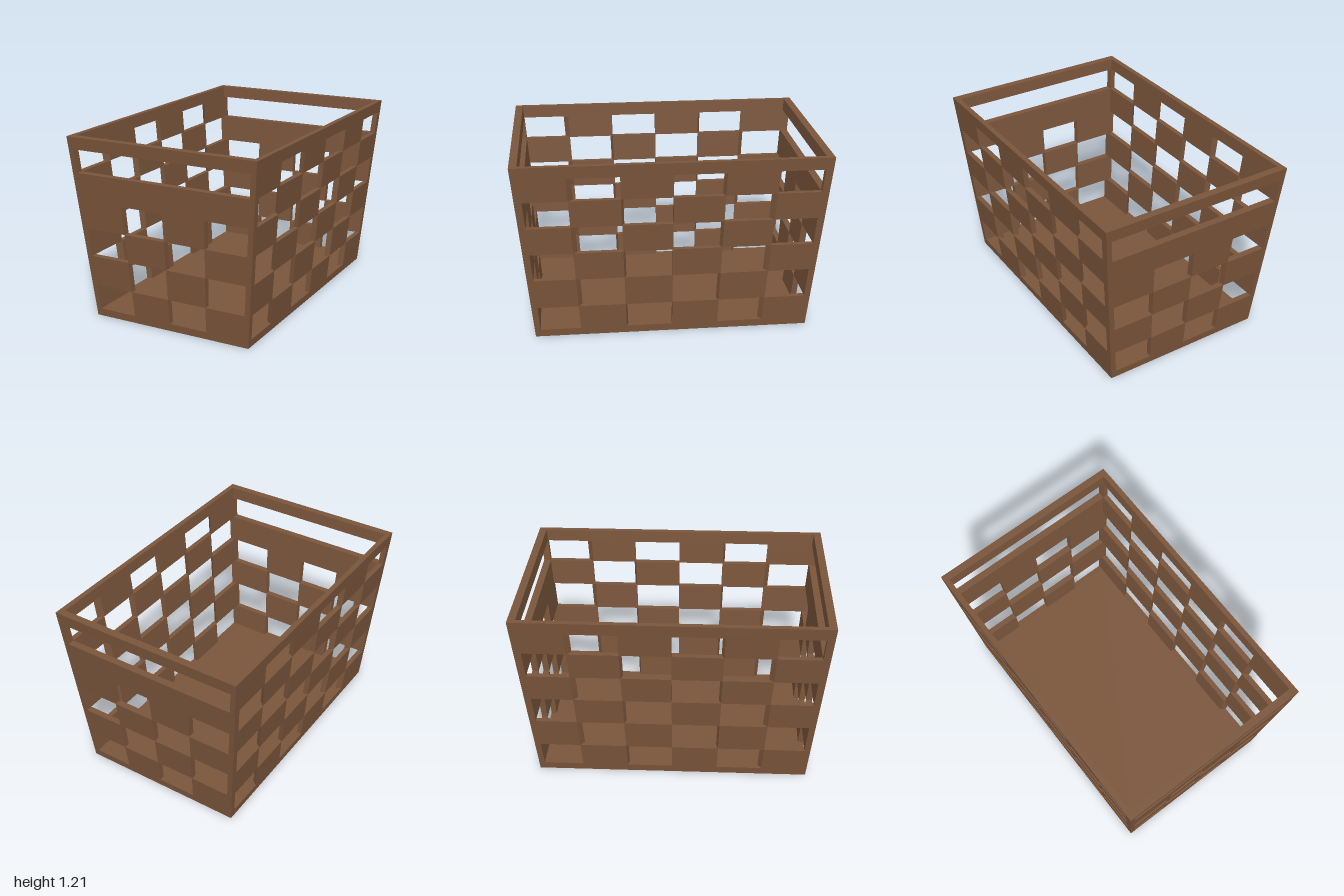
import * as THREE from 'three';

const HEIGHT = 1.21, FLOOR = 0.05;
const mix = (a, b, y) => a + (b - a) * y / HEIGHT;
// Outer and inner half sizes of the tapered basket at height y
const outer = { x: y => mix(0.555, 0.66, y), z: y => mix(0.895, 1.0, y) };
const inner = { x: y => mix(0.52, 0.625, y), z: y => mix(0.858, 0.95, y) };

const brown = new THREE.MeshStandardMaterial({ color: 0x7a553b });
brown.name = 'brown plastic';

// One wall facing +z, divided into cells that are solid or open
function wallGeometry({ along, depth, n, rows, isOpen, straightHoles }) {
  const cols = 2 * n + 2;
  const pos = [];
  const quad = (a, b, c, d) => pos.push(...a, ...b, ...c, ...a, ...c, ...d);

  // Corner of the cell grid; column lines fan out with the taper
  const point = (col, row, inside) => {
    const y = rows[row], k = col - n - 1;
    const edge = inner[along](y);
    let s;
    if (Math.abs(k) > n) s = Math.sign(k) * (inside ? edge : outer[along](y));
    else if (Math.abs(k) === n) s = Math.sign(k) * edge;
    else s = k / n * (inside || straightHoles ? edge : outer[along](y));
    return [s, y, (inside ? inner : outer)[depth](y)];
  };
  const open = (c, r) => c > 0 && c < cols - 1 && r >= 0 && r < rows.length - 1 && isOpen(c - 1, r);

  for (let r = 0; r < rows.length - 1; r++) {
    for (let c = 0; c < cols; c++) {
      if (open(c, r)) continue;
      const [a, b, d, e] = [[c, r], [c + 1, r], [c + 1, r + 1], [c, r + 1]].map(p => point(...p, false));
      const [ai, bi, di, ei] = [[c, r], [c + 1, r], [c + 1, r + 1], [c, r + 1]].map(p => point(...p, true));
      quad(a, b, d, e);
      quad(bi, ai, ei, di);
      // Hole reveals and the top rim
      if (open(c + 1, r)) quad(b, bi, di, d);
      if (open(c - 1, r)) quad(ai, a, e, ei);
      if (open(c, r - 1)) quad(ai, bi, b, a);
      if (open(c, r + 1) || r === rows.length - 2) quad(e, d, di, ei);
    }
  }
  const geo = new THREE.BufferGeometry();
  geo.setAttribute('position', new THREE.Float32BufferAttribute(pos, 3));
  geo.computeVertexNormals();
  return geo;
}

export function createModel() {
  const group = new THREE.Group();
  group.name = 'laundryBasket';
  const add = (name, geo, rotY = 0) => {
    const mesh = new THREE.Mesh(geo, brown);
    mesh.name = name;
    mesh.rotation.y = rotY;
    group.add(mesh);
    return mesh;
  };

  // Rows 1 to 6 hold the openings
  const rows = [0, 0.05, 0.218, 0.42, 0.61, 0.795, 0.977, 1.13, HEIGHT];
  const checker = (c, r) => (c + r) % 2 === 1;

  // End walls: four checkered rows, then a wide handle slot
  const end = wallGeometry({
    along: 'x', depth: 'z', n: 2, rows, straightHoles: true,
    isOpen: (c, r) => r === 6 || (r >= 1 && r <= 4 && checker(c, r)),
  });
  add('frontWall', end);
  add('backWall', end, Math.PI);

  // Long walls: six checkered rows
  const side = wallGeometry({
    along: 'z', depth: 'x', n: 3, rows, straightHoles: false,
    isOpen: (c, r) => r >= 1 && r <= 6 && checker(c, r),
  });
  add('leftWall', side, Math.PI / 2);
  add('rightWall', side, -Math.PI / 2);

  // Floor and underside
  const sheet = (size, y) => new THREE.PlaneGeometry(2 * size.x(y), 2 * size.z(y)).rotateX(-Math.PI / 2);
  add('floor', sheet(inner, FLOOR)).position.y = FLOOR;
  add('underside', sheet(outer, 0).rotateX(Math.PI));
  return group;
}
